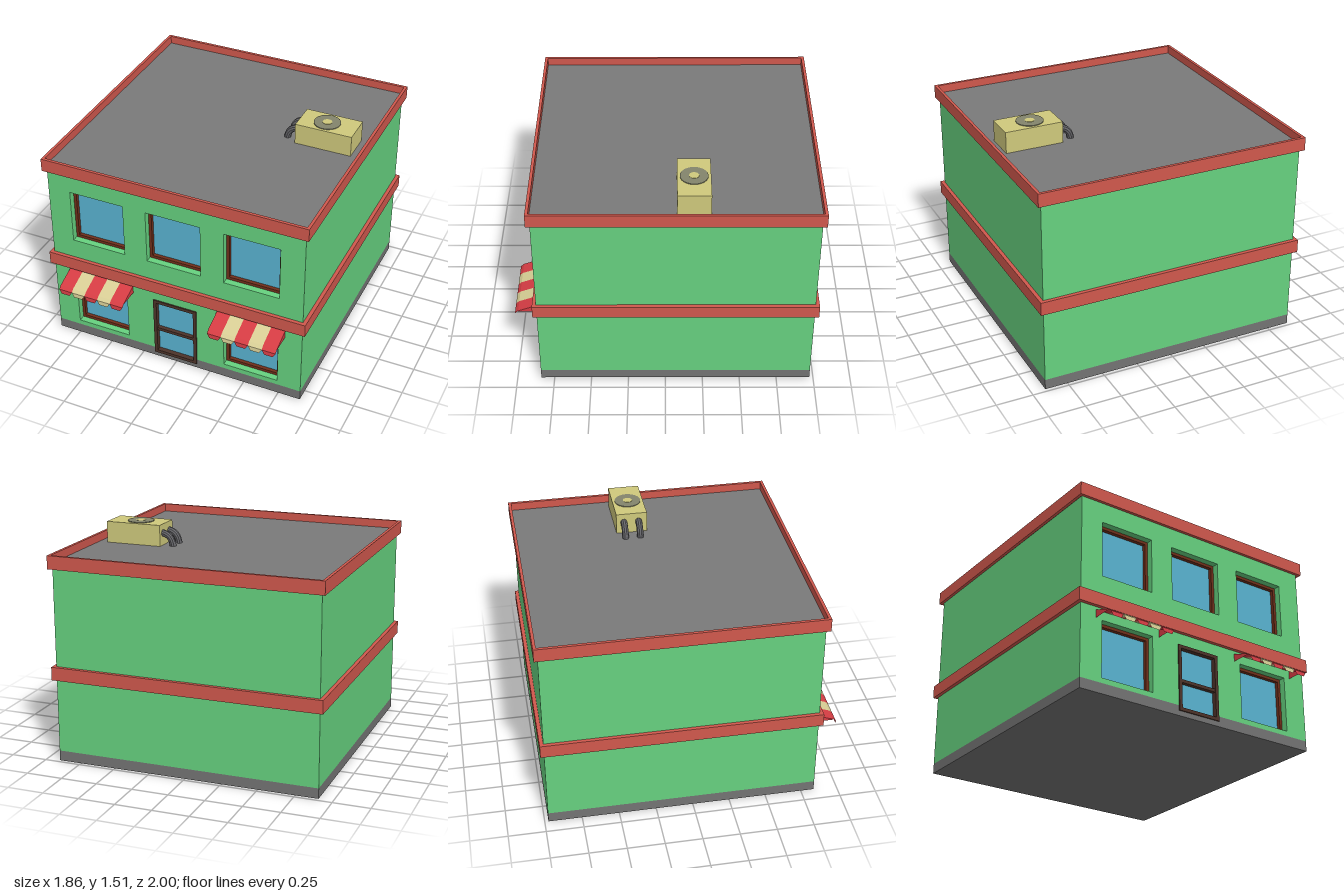
import * as THREE from 'three';

const mat = (color, side = THREE.FrontSide) =>
  new THREE.MeshStandardMaterial({ color, side, flatShading: true });
const M = {
  wall: mat(0x66d17f), trim: mat(0xd0584d), stone: mat(0x737373), roof: mat(0x7a7a7a),
  glass: mat(0x59b3d1), wood: mat(0x702f1a), door: mat(0x4d3329),
  unit: mat(0xcfc97c), fan: mat(0x83846c), pipe: mat(0x66666a),
  red: mat(0xd63d44, THREE.DoubleSide), cream: mat(0xd9cf96, THREE.DoubleSide),
};

function add(parent, name, geometry, material) {
  const mesh = new THREE.Mesh(geometry, material);
  mesh.name = name;
  parent.add(mesh);
  return mesh;
}

// Box given by its minimum and maximum corners
function box(parent, name, material, a, b) {
  const mesh = add(parent, name, new THREE.BoxGeometry(b[0] - a[0], b[1] - a[1], b[2] - a[2]), material);
  mesh.position.set((a[0] + b[0]) / 2, (a[1] + b[1]) / 2, (a[2] + b[2]) / 2);
  return mesh;
}

const rect = (x0, y0, x1, y1, Type = THREE.Shape) =>
  new Type([[x0, y0], [x1, y0], [x1, y1], [x0, y1]].map(p => new THREE.Vector2(...p)));

// Outline with rectangular holes, extruded from z0 to z1
function panel(shape, holes, z0, z1) {
  shape.holes = holes.map(h => rect(...h, THREE.Path));
  return new THREE.ExtrudeGeometry(shape, { depth: z1 - z0, bevelEnabled: false }).translate(0, 0, z0);
}

const FRONT = 0.84, BACK = -0.975, INNER = 0.75, W = 0.905;
const windows = [];
for (const x of [-0.553, -0.003, 0.547]) {
  windows.push([x - 0.193, 0.8, x + 0.193, 1.185]);
  if (Math.abs(x) > 0.1) windows.push([x - 0.193, 0.105, x + 0.193, 0.49]);
}
const doorHole = [-0.16, 0.035, 0.156, 0.49];

// Frame ring with a recessed pane
function framed(parent, name, [x0, y0, x1, y1], t, material, zPane, zFront) {
  const g = new THREE.Group();
  g.name = name;
  parent.add(g);
  add(g, name + 'Frame', panel(rect(x0, y0, x1, y1), [[x0 + t, y0 + t, x1 - t, y1 - t]], INNER, zFront), material);
  box(g, name + 'Pane', M.glass, [x0 + t, y0 + t, INNER], [x1 - t, y1 - t, zPane]);
  return g;
}

// Striped awning with a scalloped valance
function awning(xc) {
  const g = new THREE.Group();
  g.name = 'awning';
  const half = 0.24, n = 5, w = 2 * half / n;
  const profile = [[0.55, FRONT], [0.5, 0.975], [0.48, 0.997]];
  for (let i = 0; i < n; i++) {
    const x0 = xc - half + i * w, x1 = x0 + w, pos = [], idx = [];
    for (const [y, z] of profile) pos.push(x0, y, z, x1, y, z);
    pos.push(x0 + 0.018, 0.45, 1, x1 - 0.018, 0.45, 1);
    for (let k = 0; k < 3; k++) idx.push(2 * k, 2 * k + 2, 2 * k + 1, 2 * k + 1, 2 * k + 2, 2 * k + 3);
    const geo = new THREE.BufferGeometry();
    geo.setAttribute('position', new THREE.Float32BufferAttribute(pos, 3));
    geo.setIndex(idx);
    const flat = geo.toNonIndexed();
    flat.computeVertexNormals();
    add(g, 'awningStripe', flat, i % 2 ? M.cream : M.red);
  }
  // Triangular ends: shape x runs along z, then turned to face sideways
  const end = new THREE.Shape([[FRONT, 0.495], [0.975, 0.495], [0.975, 0.5], [FRONT, 0.55]]
    .map(p => new THREE.Vector2(...p)));
  for (const x of [xc - half, xc + half]) {
    const m = add(g, 'awningEnd', new THREE.ShapeGeometry(end), M.red);
    m.rotation.y = -Math.PI / 2;
    m.position.x = x;
  }
  return g;
}

function roofUnit() {
  const g = new THREE.Group();
  g.name = 'airConditioner';
  box(g, 'unitCasing', M.unit, [0.455, 1.35, -0.287], [0.848, 1.5, -0.073]);
  const disc = (name, r, h, material) =>
    add(g, name, new THREE.CylinderGeometry(r, r, h, 24), material).position.set(0.64, 1.5 + h / 2, -0.18);
  disc('fanGrille', 0.09, 0.005, M.fan);
  disc('fanHub', 0.032, 0.007, M.unit);
  // Pipes bending down to the roof
  const curve = new THREE.CubicBezierCurve3(
    new THREE.Vector3(0.47, 1.44, 0), new THREE.Vector3(0.42, 1.44, 0),
    new THREE.Vector3(0.382, 1.41, 0), new THREE.Vector3(0.38, 1.345, 0));
  for (const z of [-0.235, -0.132])
    add(g, 'pipe', new THREE.TubeGeometry(curve, 8, 0.023, 10), M.pipe).position.z = z;
  return g;
}

export function createModel() {
  const model = new THREE.Group();
  model.name = 'shopBuilding';

  // Plinth and walls, with openings in the front
  box(model, 'plinth', M.stone, [-W, 0, BACK], [W, 0.07, INNER]);
  box(model, 'walls', M.wall, [-W, 0.07, BACK], [W, 1.34, INNER]);
  const [dx0, dy0, dx1, dy1] = doorHole;
  const notched = (y0, y1, pts) => new THREE.Shape(
    [[-W, y0], ...pts, [W, y0], [W, y1], [-W, y1]].map(p => new THREE.Vector2(...p)));
  const plinthShape = new THREE.Shape(
    [[-W, 0], [W, 0], [W, 0.07], [dx1, 0.07], [dx1, dy0], [dx0, dy0], [dx0, 0.07], [-W, 0.07]]
      .map(p => new THREE.Vector2(...p)));
  add(model, 'plinthFront', panel(plinthShape, [], INNER, FRONT), M.stone);
  const wallShape = notched(0.07, 1.34, [[dx0, 0.07], [dx0, dy1], [dx1, dy1], [dx1, 0.07]]);
  add(model, 'frontWall', panel(wallShape, windows, INNER, FRONT), M.wall);

  // Floor band, parapet and roof
  box(model, 'floorBand', M.trim, [-0.93, 0.57, -1], [0.93, 0.66, 0.865]);
  const parapet = panel(rect(-0.93, -0.865, 0.93, 1), [[-0.91, -0.845, 0.91, 0.98]], 1.32, 1.41);
  add(model, 'parapet', parapet.rotateX(-Math.PI / 2), M.trim);
  box(model, 'roof', M.roof, [-0.912, 1.325, -0.982], [0.912, 1.355, 0.847]);

  // Windows, door and awnings
  for (const w of windows) framed(model, 'window', w, 0.02, M.wood, 0.77, 0.795);
  const door = framed(model, 'door', doorHole, 0.023, M.door, 0.815, 0.848);
  box(door, 'doorRail', M.door, [dx0 + 0.02, 0.232, INNER], [dx1 - 0.02, 0.254, 0.842]);
  model.add(awning(-0.551), awning(0.547), roofUnit());
  return model;
}
